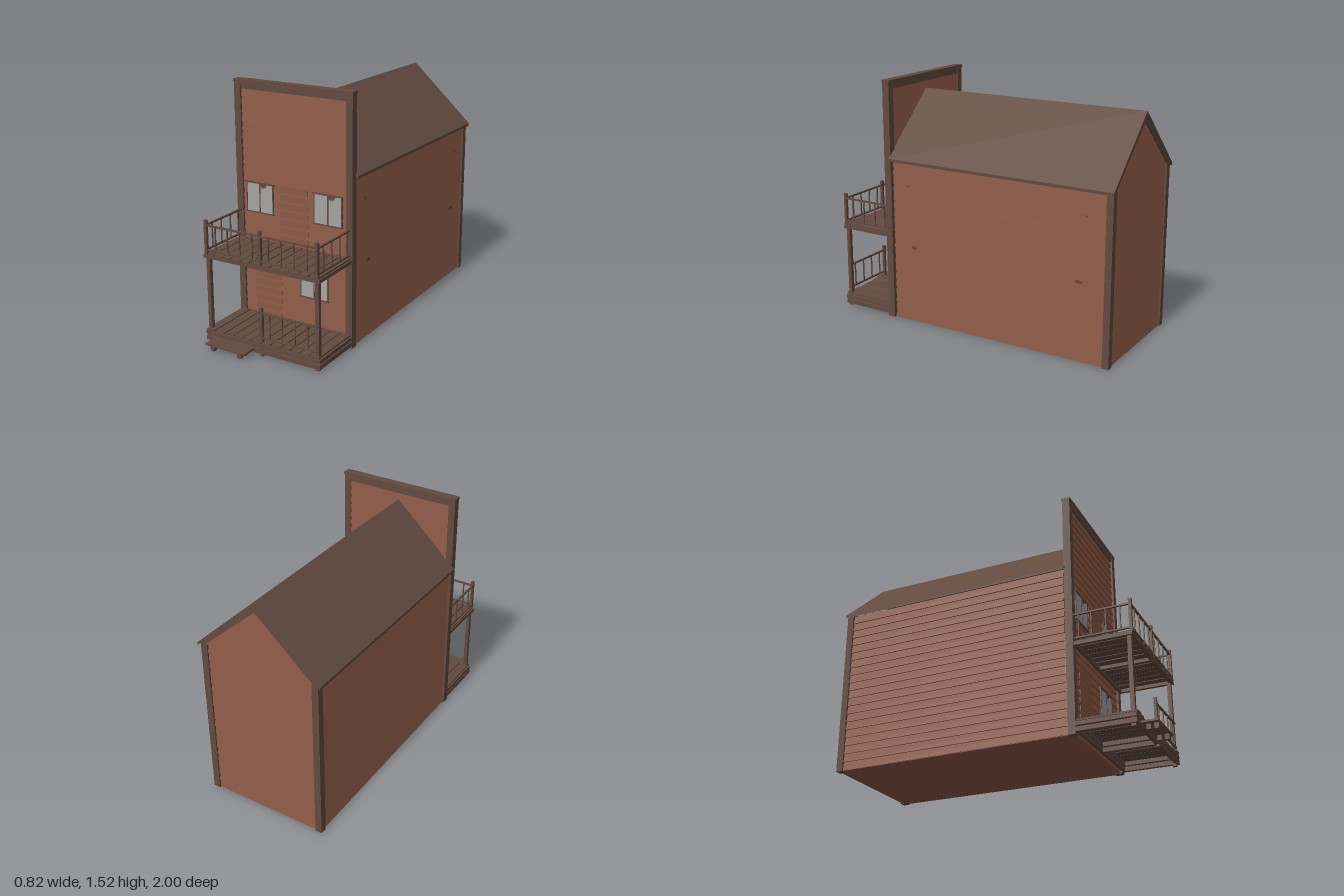
import * as THREE from 'three';

const mat = (name, color) => {
  const m = new THREE.MeshStandardMaterial({ color });
  m.name = name;
  return m;
};

export function createModel() {
  const model = new THREE.Group();
  model.name = 'frontierHouse';
  const wall = mat('reddish siding', 0x8a5845);
  const trim = mat('dark timber', 0x624a3e);
  const glass = mat('grey glass', 0xa5a4a1);

  const add = (name, geometry, material, parent = model) => {
    const mesh = new THREE.Mesh(geometry, material);
    mesh.name = name;
    parent.add(mesh);
    return mesh;
  };
  // Box given by its extents on each axis
  const box = (name, [x0, x1], [y0, y1], [z0, z1], material = trim, parent = model) => {
    const mesh = add(name, new THREE.BoxGeometry(x1 - x0, y1 - y0, z1 - z0), material, parent);
    mesh.position.set((x0 + x1) / 2, (y0 + y1) / 2, (z0 + z1) / 2);
    return mesh;
  };
  const group = (name) => {
    const g = new THREE.Group();
    g.name = name;
    model.add(g);
    return g;
  };

  // Lapped boards facing +z: each leans outward to a small lip at its lower edge
  const siding = (name, halfWidth, y0, y1, pitch = 0.0515, lip = 0.008) => {
    const p = [];
    const quad = (a, b, c, d) => p.push(...a, ...b, ...c, ...a, ...c, ...d);
    const n = Math.round((y1 - y0) / pitch), h = (y1 - y0) / n;
    for (let i = 0; i < n; i++) {
      const b = y0 + i * h, t = b + h, wb = halfWidth(b), wt = halfWidth(t);
      quad([-wb, b, lip], [wb, b, lip], [wt, t, 0], [-wt, t, 0]);
      quad([-wb, b, 0], [wb, b, 0], [wb, b, lip], [-wb, b, lip]);
    }
    const g = new THREE.BufferGeometry();
    g.setAttribute('position', new THREE.Float32BufferAttribute(p, 3));
    g.computeVertexNormals();
    return add(name, g, wall);
  };

  // House body
  for (const s of [-1, 1]) {
    const side = siding(s > 0 ? 'leftWall' : 'rightWall', () => 0.74, 0.005, 1.04);
    side.rotation.y = s * Math.PI / 2;
    side.position.set(s * 0.38, 0, -0.24);
    box('backCornerPost', s > 0 ? [0.352, 0.395] : [-0.395, -0.352], [0, 1.04], [-0.992, -0.95]);
  }
  const back = siding('backWall', (y) => Math.min(0.38, (1.4 - y) * 1.06), 0.005, 1.398);
  back.rotation.y = Math.PI;
  back.position.z = -0.978;
  box('floor', [-0.385, 0.385], [0.002, 0.012], [-0.98, 0.54], wall);

  // Gable roof and the rake boards beneath it
  const chevron = (half, eave, apex, thick, depth) => {
    const s = new THREE.Shape([[-half, eave], [-half, eave - thick], [0, apex - thick * 1.3],
      [half, eave - thick], [half, eave], [0, apex]].map(([x, y]) => new THREE.Vector2(x, y)));
    return new THREE.ExtrudeGeometry(s, { depth, bevelEnabled: false });
  };
  add('roof', chevron(0.412, 1.043, 1.423, 0.018, 1.515), trim).position.z = -1;
  add('rakeBoards', chevron(0.385, 1.05, 1.402, 0.028, 0.018), trim).position.z = -0.993;

  // Tall false front
  siding('frontWall', () => 0.36, 0.005, 1.475).position.z = 0.539;
  const parapet = siding('parapetBack', () => 0.36, 1.0, 1.475);
  parapet.rotation.y = Math.PI;
  parapet.position.z = 0.519;
  for (const s of [-1, 1])
    box('frontCornerPost', s > 0 ? [0.355, 0.398] : [-0.398, -0.355], [0, 1.51], [0.508, 0.555]);
  box('parapetBand', [-0.356, 0.356], [1.468, 1.51], [0.511, 0.552]);
  box('parapetCap', [-0.4, 0.4], [1.507, 1.523], [0.504, 0.558]);

  // Doors, nearly flush with the boards
  box('upperDoor', [-0.098, 0.096], [0.56, 0.92], [0.536, 0.5455], wall);
  box('lowerDoor', [-0.282, -0.095], [0.085, 0.44], [0.536, 0.5455], wall);

  // Ragged half-round hole in the glass
  const raggedHole = () => {
    const pts = [];
    for (let i = 0; i <= 18; i++) {
      const a = Math.PI + (i / 18) * Math.PI, r = i % 2 ? 0.023 : 0.03;
      pts.push(new THREE.Vector2(Math.cos(a) * r, Math.sin(a) * r));
    }
    return new THREE.ShapeGeometry(new THREE.Shape(pts));
  };
  const windowAt = (name, x, y, holeX) => {
    const g = group(name);
    g.position.set(x, y, 0.544);
    box('pane', [-0.092, 0.092], [-0.09, 0.09], [0, 0.006], glass, g);
    box('windowHead', [-0.1, 0.1], [0.087, 0.094], [0, 0.013], trim, g);
    box('windowSill', [-0.1, 0.1], [-0.095, -0.088], [0, 0.013], trim, g);
    for (const px of [-0.092, 0, 0.092])
      box('windowBar', [px - 0.003, px + 0.003], [-0.09, 0.09], [0, 0.009], trim, g);
    add('brokenGlass', raggedHole(), trim, g).position.set(holeX, 0.088, 0.0075);
  };
  windowAt('upperRightWindow', -0.236, 0.822, 0.025);
  windowAt('upperLeftWindow', 0.234, 0.822, 0.025);
  windowAt('lowerWindow', 0.138, 0.35, 0.027);

  // Small knots in the boards
  const knot = (x, y, z, r, turn) => {
    const m = add('knot', new THREE.CircleGeometry(r, 9), trim);
    m.scale.y = 0.5;
    m.rotation.y = turn;
    m.position.set(x, y, z);
  };
  for (const [z, y, r] of [[0.39, 0.88, 0.012], [-0.83, 0.88, 0.012], [0.35, 0.49, 0.024], [-0.79, 0.49, 0.024]])
    knot(0.389, y, z, r, Math.PI / 2);
  knot(0.255, 0.49, 0.5475, 0.012, 0);

  // Porch decks: uneven planks running front to back over beams
  const deck = (name, y) => {
    const g = group(name), n = 12, w = 0.78 / n;
    for (let i = 0; i < n; i++) {
      const x = -0.39 + i * w, j = Math.sin(i * 5.3 + y * 9);
      const p = box('plank', [x + 0.003, x + w - 0.003], [y - 0.01, y], [0.55, 0.903 + 0.006 * j], trim, g);
      p.position.y += 0.002 * j;
      p.rotation.z = 0.045 * Math.sin(i * 3.1 + 1);
    }
  };
  const frame = (name, y0, y1) => {
    const g = group(name);
    box('frontBeam', [-0.395, 0.395], [y0, y1], [0.88, 0.903], trim, g);
    box('backBeam', [-0.395, 0.395], [y0, y1], [0.55, 0.57], trim, g);
    for (const x of [-0.384, 0, 0.384])
      box('joist', [x - 0.011, x + 0.011], [y0, y1], [0.555, 0.9], trim, g);
  };
  deck('lowerDeck', 0.088);
  frame('lowerDeckFrame', 0.05, 0.073);
  frame('lowerSkirt', 0.015, 0.042);
  deck('upperDeck', 0.563);
  frame('upperDeckFrame', 0.531, 0.552);

  // Posts
  const post = (name, x, z, y0, y1, w = 0.009) =>
    box(name, [x - w, x + w], [y0, y1], [z - w, z + w]);
  for (const s of [-1, 1]) {
    post('porchPost', s * 0.371, 0.88, 0, 0.535, 0.012);
    post('balconyPost', s * 0.376, 0.894, 0.53, 0.76);
  }
  post('balconyMiddlePost', 0, 0.894, 0.53, 0.76);
  post('lowerRailPost', 0, 0.894, 0, 0.3);

  // Railings
  const rail = (name, y0, y1, x0, x1, xs) => {
    const g = group(name);
    for (const y of [y0, y1]) box('rail', [x0, x1], [y - 0.005, y + 0.005], [0.888, 0.9], trim, g);
    for (const x of xs) box('baluster', [x - 0.0035, x + 0.0035], [y0, y1], [0.8905, 0.8975], trim, g);
  };
  const half = [0.055, 0.14, 0.225, 0.31];
  rail('balconyFrontRail', 0.58, 0.729, -0.376, 0.376, [...half, ...half.map((x) => -x)]);
  rail('lowerFrontRail', 0.116, 0.269, 0, 0.376, half);
  for (const s of [-1, 1]) {
    const g = group('balconySideRail'), x = s * 0.378;
    for (const y of [0.58, 0.729])
      box('rail', [x - 0.006, x + 0.006], [y - 0.005, y + 0.005], [0.55, 0.894], trim, g);
    for (const z of [0.583, 0.66, 0.747, 0.833])
      box('baluster', [x - 0.0035, x + 0.0035], [0.58, 0.729], [z - 0.0035, z + 0.0035], trim, g);
  }

  // Front step on short blocks
  box('stepBoard', [-0.33, -0.05], [0.031, 0.042], [0.905, 1]);
  for (const x of [-0.285, -0.095])
    for (const z of [0.935, 0.979])
      box('stepBlock', [x - 0.013, x + 0.013], [0, 0.032], [z - 0.013, z + 0.013]);

  return model;
}
